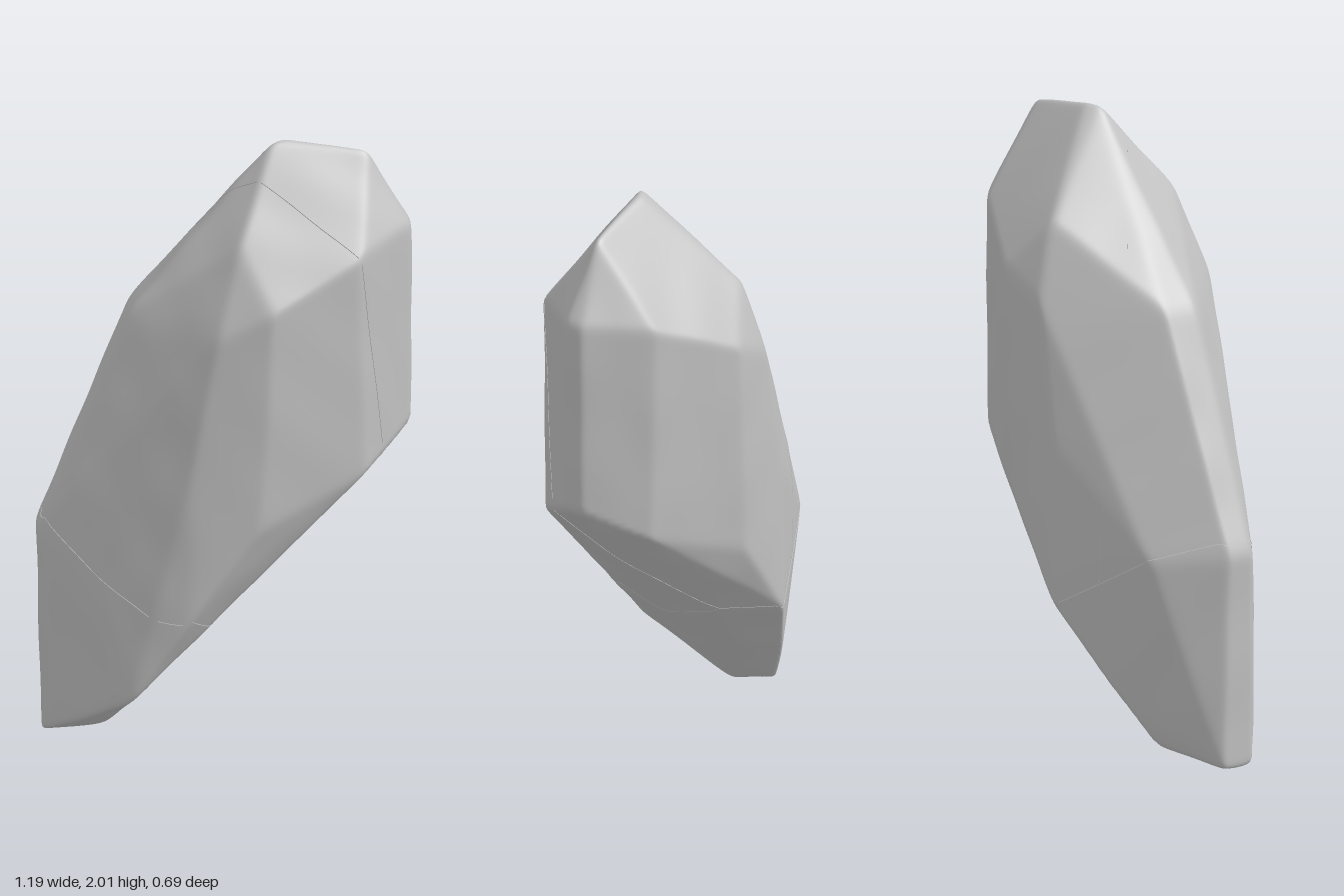
import * as THREE from 'three';
import { mergeVertices } from 'three/addons/utils/BufferGeometryUtils.js';
import { ConvexGeometry } from 'three/addons/geometries/ConvexGeometry.js';

const V = (x, y, z) => new THREE.Vector3(x, y, z);
const CENTER = V(0.02, 1, 0);

// corners of the faceted stone; the last group is mirrored front to back
function stoneCorners() {
  const pts = [
    V(0.15, 2.005, 0.03), V(0.45, 1.97, 0), V(0.19, 2.005, 0),
    V(-0.59, 0.7, 0.08), V(-0.59, 0.7, -0.01), V(-0.57, 0.75, 0.08), V(-0.57, 0.75, -0.01),
    V(-0.3, 1.44, 0.07), V(-0.3, 1.44, -0.05),
    V(-0.57, 0.01, 0.09), V(-0.57, 0.01, -0.02), V(-0.42, -0.005, 0.03), V(-0.37, 0.01, 0.03),
    V(-0.19, 0.21, 0), V(-0.29, 0.2, 0.3), V(-0.29, 0.2, -0.21),
    V(-0.42, 0.6, 0.205), V(-0.42, 0.68, -0.2),
    V(0.05, 1.73, 0.24), V(0.02, 1.7, -0.26), V(0, 0.44, 0),
  ];
  const mirrored = [
    [0.585, 1.72, 0.03], [0.585, 1.05, 0.03], [0.43, 1.69, 0.21], [0.44, 0.94, 0.2],
    [0.15, 1.54, 0.345], [0.14, 1.2, 0.345], [0.11, 0.8, 0.335], [-0.1, 0.5, 0.34],
    [-0.02, 1.45, 0.33], [-0.1, 1.0, 0.34], [-0.37, 0.06, 0.13],
  ];
  for (const [x, y, z] of mirrored) pts.push(V(x, y, z), V(x, y, -z));
  return pts;
}

// distinct facet planes, stored as normal / distance from the centre
function facetPlanes() {
  const pos = new ConvexGeometry(stoneCorners()).attributes.position;
  const planes = [];
  const tri = new THREE.Triangle();
  for (let i = 0; i < pos.count; i += 3) {
    tri.setFromAttributeAndIndices(pos, i, i + 1, i + 2);
    if (tri.getArea() < 1e-5) continue;
    const n = tri.getNormal(V(0, 0, 0));
    n.divideScalar(n.dot(tri.a.clone().sub(CENTER)));
    if (!planes.some((p) => p.distanceTo(n) < 0.06)) planes.push(n);
  }
  return planes;
}

// point on the stone in a direction; a high power mean softens the facet edges
function surfacePoint(dir, planes) {
  const P = 140;
  const values = planes.map((n) => n.dot(dir));
  const top = Math.max(...values);
  let sum = 0;
  for (const v of values) if (v > 0) sum += (v / top) ** P;
  const p = dir.clone().divideScalar(top * sum ** (1 / P));
  // shallow weathering
  const dent = Math.sin(p.x * 14 + p.y * 5) * Math.sin(p.y * 12 - p.z * 9 + 1) * Math.sin(p.z * 13 + p.x * 6 + 2);
  return p.multiplyScalar(1.007 + 0.006 * dent).add(CENTER);
}

// hairline seam: a thin strip set upright into the surface along a path of corners
function seamStrip(corners, planes) {
  const positions = [];
  const index = [];
  for (let i = 0; i + 1 < corners.length; i++) {
    for (let s = 0; s <= 16; s++) {
      const dir = corners[i].clone().lerp(corners[i + 1], s / 16).sub(CENTER);
      const out = surfacePoint(dir, planes).sub(CENTER);
      for (const k of [1.003, 0.985]) positions.push(...out.clone().multiplyScalar(k).add(CENTER).toArray());
    }
  }
  for (let a = 0; a + 3 < positions.length / 3; a += 2) index.push(a, a + 1, a + 2, a + 2, a + 1, a + 3);
  const geo = new THREE.BufferGeometry();
  geo.setAttribute('position', new THREE.Float32BufferAttribute(positions, 3));
  geo.setIndex(index);
  geo.computeVertexNormals();
  return geo;
}

export function createModel() {
  const stoneGrey = new THREE.MeshStandardMaterial({ name: 'stone grey', color: 0xc2c2c2, side: THREE.DoubleSide });
  const planes = facetPlanes();
  const group = new THREE.Group();
  group.name = 'rock';

  // stone body: a sphere leaned along the stone and pushed onto its facets
  let geo = new THREE.IcosahedronGeometry(1, 56);
  geo.deleteAttribute('normal');
  geo.deleteAttribute('uv');
  geo = mergeVertices(geo, 1e-5);
  const pos = geo.attributes.position;
  const d = V(0, 0, 0);
  for (let i = 0; i < pos.count; i++) {
    d.fromBufferAttribute(pos, i);
    d.set(d.x * 0.45 + d.y * 0.38, d.y, d.z * 0.36);
    const p = surfacePoint(d, planes);
    pos.setXYZ(i, p.x, p.y, p.z);
  }
  geo.computeVertexNormals();
  geo.computeBoundingBox();
  const body = new THREE.Mesh(geo, stoneGrey);
  body.name = 'stoneBody';
  group.add(body);

  // seams between the broken chunks
  const seams = {
    lowerSeam: [
      V(-0.57, 0.75, 0.04), V(-0.56, 0.74, 0.09), V(-0.1, 0.48, 0.34), V(0, 0.45, 0.2), V(0.02, 0.46, 0),
      V(0.03, 0.47, -0.2), V(-0.08, 0.49, -0.34), V(-0.42, 0.68, -0.2), V(-0.56, 0.74, -0.03), V(-0.57, 0.75, 0.04),
    ],
    upperSeam: [
      V(0.03, 0.47, -0.2), V(0.49, 0.98, 0.13), V(0.42, 1.69, 0.21), V(0.12, 1.91, 0.11),
      V(-0.2, 1.56, -0.12), V(-0.27, 1.36, -0.23), V(-0.27, 1.0, -0.26), V(-0.25, 0.585, -0.27),
    ],
  };
  for (const [name, corners] of Object.entries(seams)) {
    const seam = new THREE.Mesh(seamStrip(corners, planes), stoneGrey);
    seam.name = name;
    group.add(seam);
  }

  // stand on the ground
  group.position.y = -geo.boundingBox.min.y;
  return group;
}
